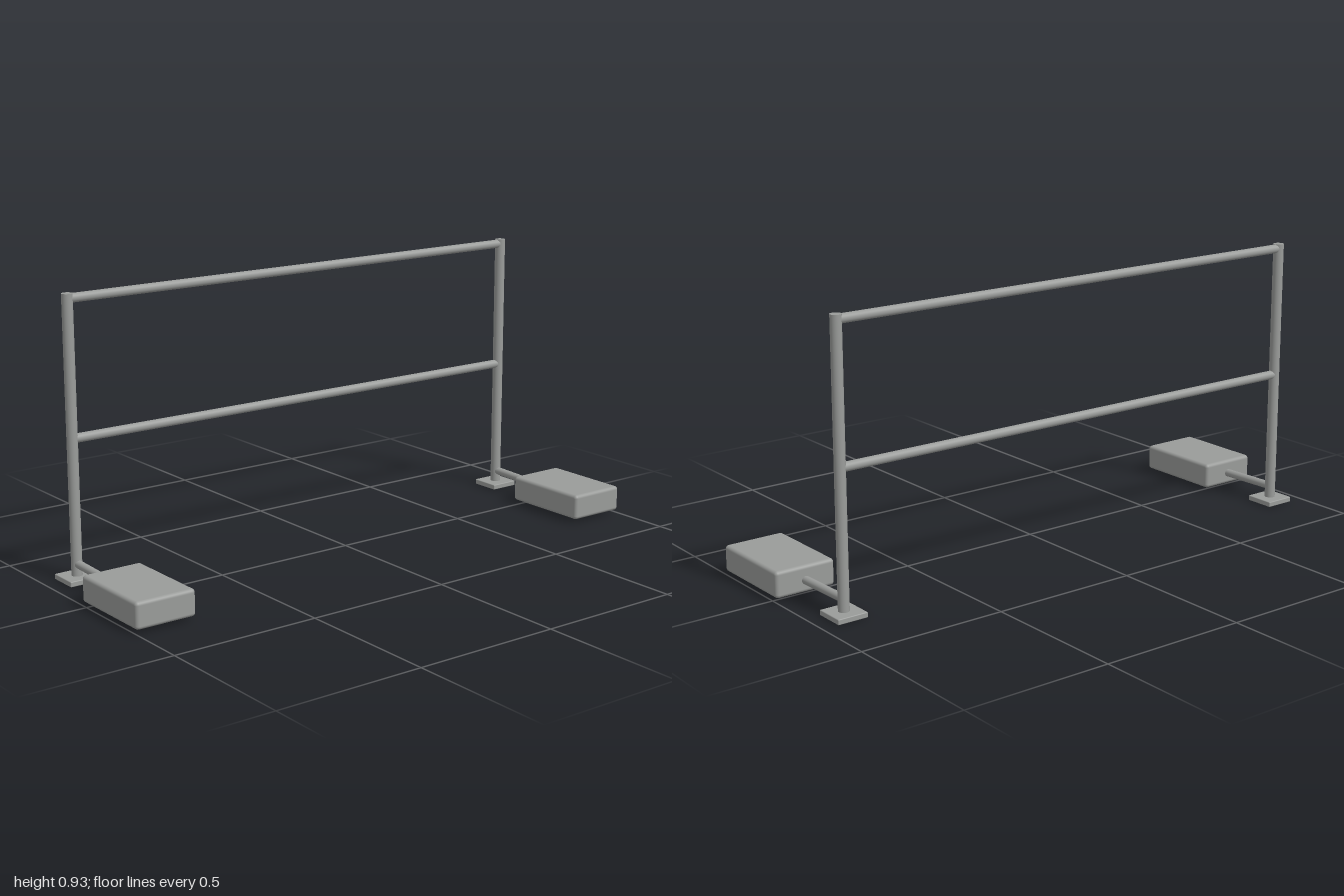
import * as THREE from 'three';
import { RoundedBoxGeometry } from 'three/addons/geometries/RoundedBoxGeometry.js';

export function createModel() {
  const model = new THREE.Group();
  model.name = 'guardRail';
  const steel = new THREE.MeshStandardMaterial({ color: 0x9a9c9a });
  steel.name = 'galvanised grey';

  const POST_X = 0.895, POST_Z = -0.241;

  // Round bar between two points
  function bar(name, from, to, radius) {
    const a = new THREE.Vector3(...from), b = new THREE.Vector3(...to);
    const dir = b.clone().sub(a);
    const mesh = new THREE.Mesh(new THREE.CylinderGeometry(radius, radius, dir.length(), 32), steel);
    mesh.position.copy(a).add(b).multiplyScalar(0.5);
    mesh.quaternion.setFromUnitVectors(new THREE.Vector3(0, 1, 0), dir.normalize());
    mesh.name = name;
    model.add(mesh);
  }

  // Block with softened edges
  function block(name, size, position, radius) {
    const mesh = new THREE.Mesh(new RoundedBoxGeometry(...size, 4, radius), steel);
    mesh.position.set(...position);
    mesh.name = name;
    model.add(mesh);
  }

  // Horizontal rails
  bar('topRail', [-POST_X, 0.914, POST_Z], [POST_X, 0.914, POST_Z], 0.015);
  bar('midRail', [-POST_X, 0.467, POST_Z], [POST_X, 0.467, POST_Z], 0.015);

  // Post, foot plate, arm and counterweight on each side
  for (const [side, s] of [['left', 1], ['right', -1]]) {
    const x = s * POST_X;
    bar(side + 'Post', [x, 0.01, POST_Z], [x, 0.93, POST_Z], 0.018);
    block(side + 'FootPlate', [0.105, 0.018, 0.105], [x, 0.009, POST_Z], 0.003);
    bar(side + 'Arm', [x, 0.057, POST_Z], [x, 0.051, 0], 0.0135);
    block(side + 'Counterweight', [0.21, 0.088, 0.32], [x, 0.055, 0.135], 0.012);
  }
  return model;
}
